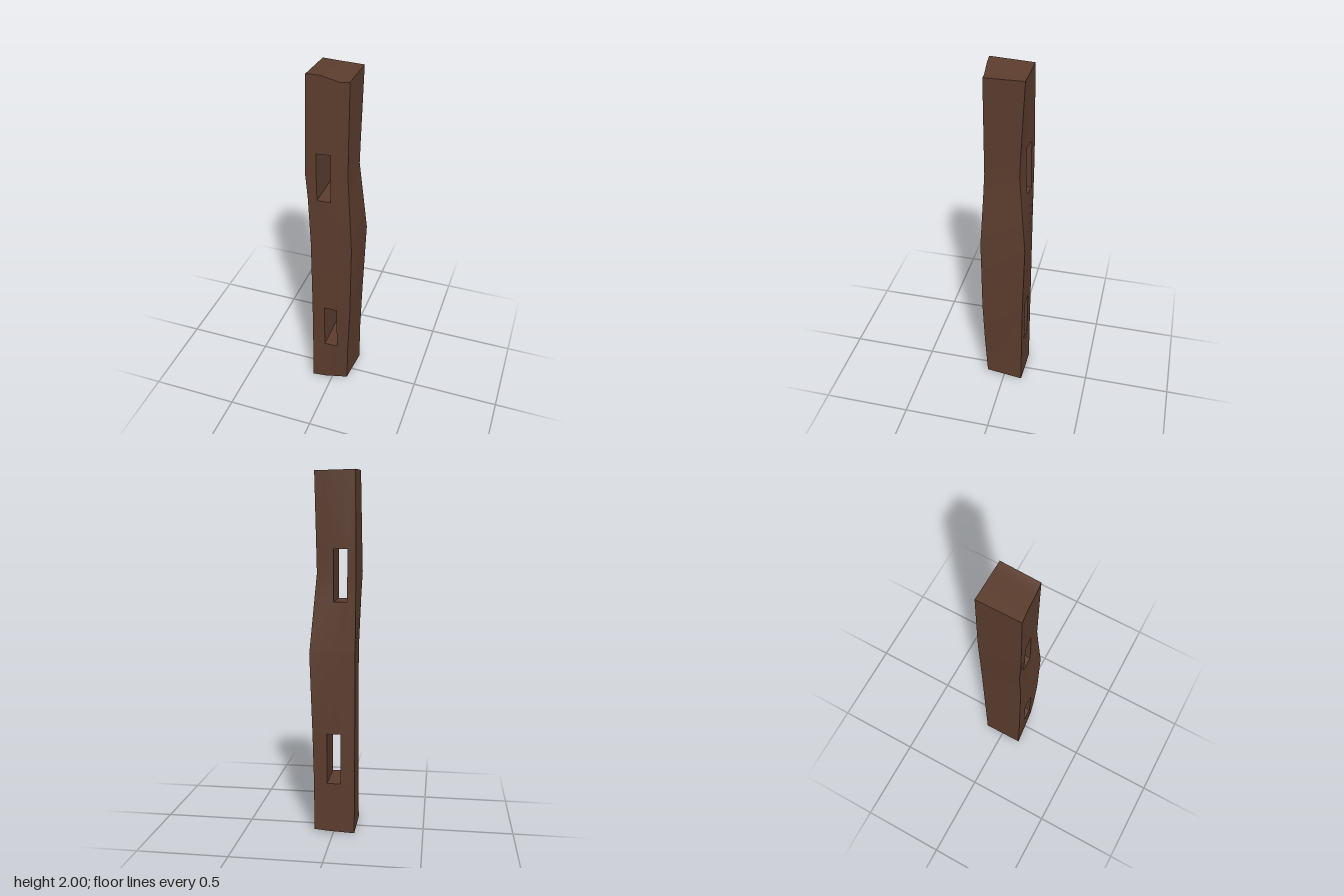
import * as THREE from 'three';
import { toCreasedNormals } from 'three/addons/utils/BufferGeometryUtils.js';

// Cross-sections of the hewn post, bottom to top.
// Corners (x, z) run front left, front right, back right, back left;
// inner = x of the two columns that bound the slots.
const SECTIONS = [
  { y: 0.00, corners: [[-0.118, 0.122], [0.095, 0.102], [0.108, -0.112], [-0.118, -0.115]], inner: [-0.04, 0.035] },
  { y: 0.285, corners: [[-0.114, 0.122], [0.103, 0.114], [0.109, -0.112], [-0.119, -0.115]], inner: [-0.04, 0.035], slot: true },
  { y: 0.57, corners: [[-0.112, 0.122], [0.115, 0.121], [0.116, -0.115], [-0.119, -0.116]], inner: [-0.04, 0.035] },
  { y: 1.02, corners: [[-0.113, 0.122], [0.12, 0.122], [0.129, -0.127], [-0.119, -0.117]], inner: [-0.057, 0.018] },
  { y: 1.30, corners: [[-0.125, 0.117], [0.1, 0.107], [0.105, -0.1], [-0.121, -0.118]], inner: [-0.075, 0.0], slot: true },
  { y: 1.45, corners: [[-0.132, 0.127], [0.09, 0.1], [0.092, -0.086], [-0.122, -0.119]], inner: [-0.075, 0.0], slot: true },
  { y: 1.58, corners: [[-0.129, 0.125], [0.09, 0.1], [0.094, -0.09], [-0.121, -0.118]], inner: [-0.075, 0.0] },
  { y: 2.00, corners: [[-0.12, 0.119], [0.095, 0.098], [0.1, -0.11], [-0.117, -0.113]], inner: [-0.05, 0.045] },
];

// Uneven saw cuts: height offsets around the ring at each end
const BOTTOM_CUT = [0.003, 0.005, 0.018, 0.028, 0.012, 0.006, 0.003, 0];
const TOP_CUT = [0, 0, -0.026, -0.02, -0.015, -0.014, -0.012, -0.01];

// Eight points: along the front left to right, then along the back right to left
function ring({ y, corners: [fl, fr, br, bl], inner }, cut) {
  const on = (a, b, x) => [x, a[1] + (b[1] - a[1]) * (x - a[0]) / (b[0] - a[0])];
  const points = [fl, on(fl, fr, inner[0]), on(fl, fr, inner[1]), fr,
    br, on(bl, br, inner[1]), on(bl, br, inner[0]), bl];
  return points.map(([x, z], i) => [x, y + (cut ? cut[i] : 0), z]);
}

function postGeometry() {
  const last = SECTIONS.length - 1;
  const rings = SECTIONS.map((s, j) => ring(s, j === 0 ? BOTTOM_CUT : j === last ? TOP_CUT : null));
  const positions = [];
  const quad = (a, b, c, d) => positions.push(...a, ...b, ...c, ...a, ...c, ...d);
  const wall = (j, a, b) => quad(rings[j][a], rings[j][b], rings[j + 1][b], rings[j + 1][a]);
  const floor = (r, a, b, c, d) => quad(r[a], r[b], r[c], r[d]);

  for (let j = 0; j < last; j++) {
    const open = SECTIONS[j].slot;
    // Outer faces, leaving the slots open
    for (let k = 0; k < 8; k++) {
      if (open && (k === 1 || k === 5)) continue;
      wall(j, k, (k + 1) % 8);
    }
    // Slot side walls, sill and head
    if (open) {
      wall(j, 1, 6);
      wall(j, 5, 2);
      if (!SECTIONS[j - 1].slot) floor(rings[j], 1, 2, 5, 6);
      if (!SECTIONS[j + 1].slot) floor(rings[j + 1], 6, 5, 2, 1);
    }
  }
  // End caps
  for (let k = 0; k < 3; k++) {
    floor(rings[last], k, k + 1, 6 - k, 7 - k);
    floor(rings[0], 7 - k, 6 - k, k + 1, k);
  }

  const geometry = new THREE.BufferGeometry();
  geometry.setAttribute('position', new THREE.Float32BufferAttribute(positions, 3));
  return toCreasedNormals(geometry, Math.PI / 7);
}

export function createModel() {
  const wood = new THREE.MeshStandardMaterial({ color: 0x5c3d2e });
  wood.name = 'dark wood';

  const post = new THREE.Mesh(postGeometry(), wood);
  post.name = 'slottedPost';

  const model = new THREE.Group();
  model.name = 'woodenFencePost';
  model.add(post);
  return model;
}
